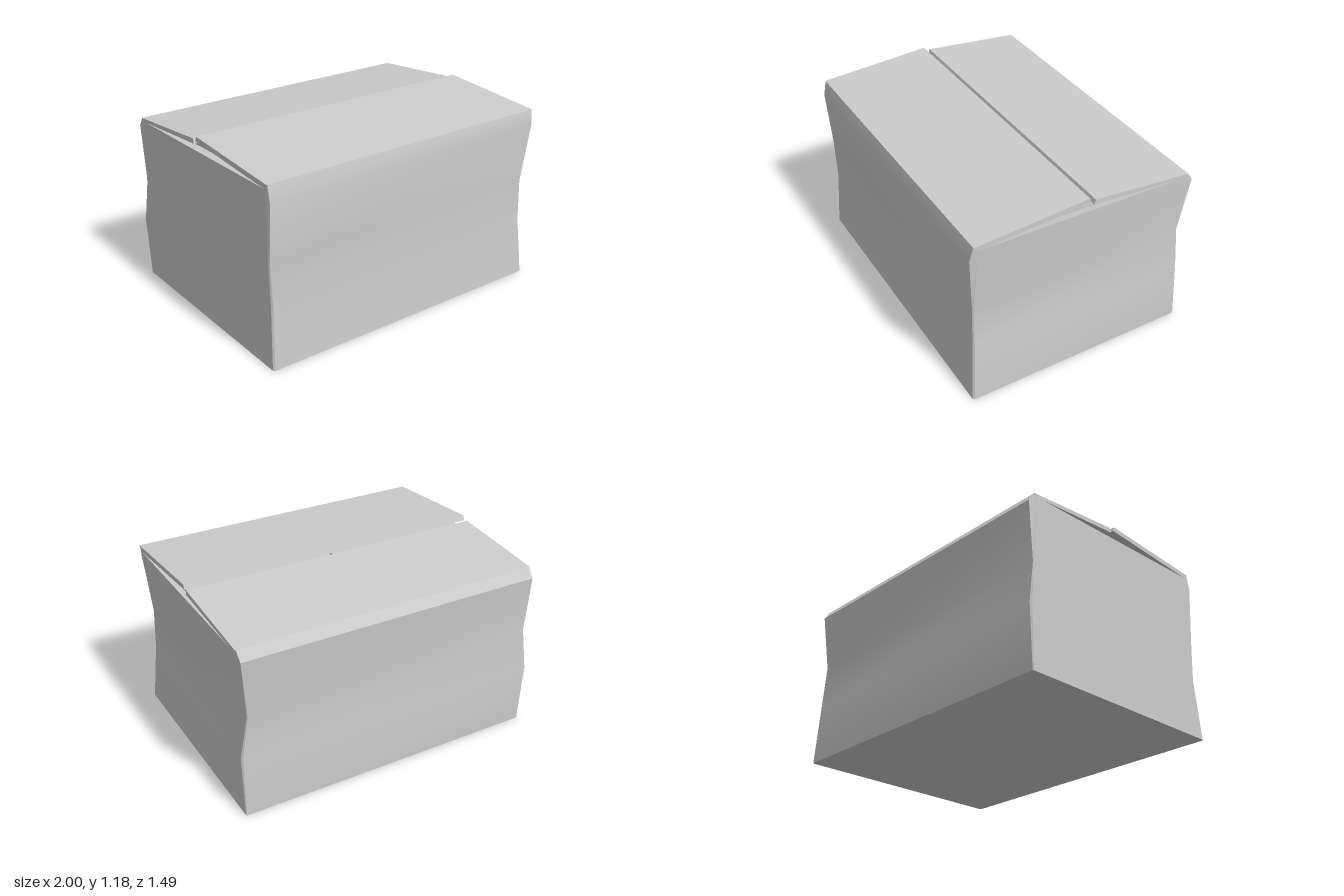
import * as THREE from 'three';
import { toCreasedNormals } from 'three/addons/utils/BufferGeometryUtils.js';

const material = new THREE.MeshStandardMaterial({ color: 0xcccccc });

// Each level lists four corners (front left, back left, back right, front right of the box),
// each corner a narrow bevel: [sideX, sideZ, faceX, faceZ].
const levels = [
  { front: [0, 0], back: [0, 0], corners: [
    [0.995, 0.735, 0.985, 0.745], [0.995, -0.715, 0.99, -0.72],
    [-0.99, -0.715, -0.985, -0.72], [-0.99, 0.735, -0.98, 0.745]] },
  { front: [0.39, 0.39], back: [0.39, 0.39], corners: [
    [0.96, 0.71, 0.95, 0.72], [0.995, -0.685, 0.985, -0.695],
    [-1, -0.73, -0.99, -0.74], [-0.975, 0.71, -0.965, 0.72]] },
  { front: [0.66, 0.66], back: [0.66, 0.66], corners: [
    [0.95, 0.71, 0.945, 0.715], [0.95, -0.695, 0.945, -0.7],
    [-0.985, -0.695, -0.98, -0.7], [-0.985, 0.71, -0.98, 0.72]] },
  { front: [1.04, 1.04], back: [1.04, 1.04], corners: [
    [0.99, 0.703, 0.98, 0.745], [0.995, -0.68, 0.985, -0.73],
    [-0.99, -0.68, -0.985, -0.73], [-0.99, 0.703, -0.985, 0.745]] },
  { front: [1.105, 1.135], back: [1.083, 1.1], corners: [
    [0.995, 0.7, 0.99, 0.725], [0.995, -0.675, 0.99, -0.69],
    [-0.99, -0.675, -0.985, -0.69], [-0.99, 0.7, -0.985, 0.725]] },
  // inner rim, tucked below the lid flaps
  { front: [1.103, 1.103], back: [1.08, 1.08], corners: [
    [0.99, 0.695, 0.985, 0.7], [0.99, -0.67, 0.985, -0.675],
    [-0.985, -0.67, -0.98, -0.675], [-0.985, 0.695, -0.98, 0.7]] },
];

// Eight points around the box, ordered front > left side > back > right side
function ring({ front, back, corners }) {
  return corners.flatMap(([sx, sz, fx, fz], i) => {
    const [sideY, faceY] = fz > 0 ? front : back;
    const side = [sx, sideY, sz], face = [fx, faceY, fz];
    return i % 2 === 0 ? [face, side] : [side, face];
  });
}

function boxBody() {
  const rings = levels.map(ring);
  const points = [];
  const last = rings.length - 1;
  for (let i = 0; i < 8; i++) {
    const j = (i + 1) % 8;
    for (let k = 0; k < last; k++) {
      const a = rings[k][i], b = rings[k][j], c = rings[k + 1][j], d = rings[k + 1][i];
      points.push(a, b, c, a, c, d);
    }
    // floor and inner top
    points.push([0, 0, 0], rings[0][j], rings[0][i]);
    points.push([0, 1.088, 0], rings[last][i], rings[last][j]);
  }
  const geometry = new THREE.BufferGeometry();
  geometry.setAttribute('position', new THREE.Float32BufferAttribute(points.flat(), 3));
  return toCreasedNormals(geometry, 0.4);
}

// A flap: a (z, y) profile swept across x
function flap(name, profile, x0, x1) {
  const shape = new THREE.Shape(profile.map(([z, y]) => new THREE.Vector2(-z, y)));
  const geometry = new THREE.ExtrudeGeometry(shape, { depth: x1 - x0, bevelEnabled: false });
  geometry.rotateY(Math.PI / 2).translate(x0, 0, 0);
  const mesh = new THREE.Mesh(geometry, material);
  mesh.name = name;
  return mesh;
}

export function createModel() {
  const group = new THREE.Group();
  group.name = 'cardboardBox';

  const body = new THREE.Mesh(boxBody(), material);
  body.name = 'boxBody';
  group.add(body);

  // Long lid flaps, hinged on the front and back walls
  group.add(flap('frontFlap', [[0.725, 1.135], [0.7, 1.105], [-0.01, 1.152], [0, 1.182]], -0.99, 0.995));
  group.add(flap('backFlap', [[-0.69, 1.1], [-0.67, 1.08], [-0.03, 1.13], [-0.04, 1.16]], -0.99, 0.995));

  // Short flaps folded in underneath
  const inner = [[0.68, 1.105], [0, 1.098], [-0.66, 1.08], [0, 1.114]];
  group.add(flap('rightInnerFlap', inner, -0.94, -0.02));
  group.add(flap('leftInnerFlap', inner, 0.02, 0.96));

  return group;
}
